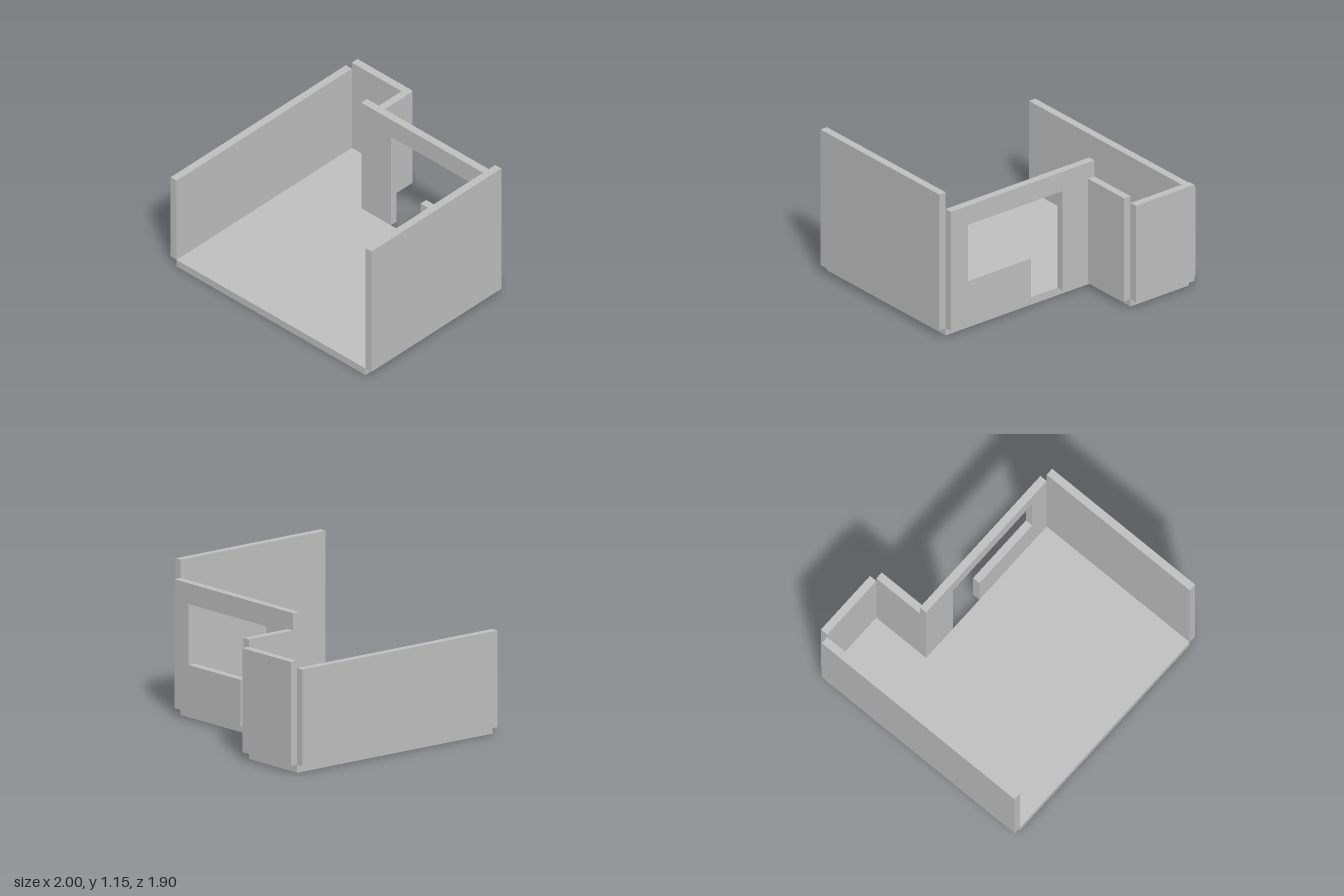
import * as THREE from 'three';

export function createModel() {
  const model = new THREE.Group();
  model.name = 'roomShell';
  const plaster = new THREE.MeshStandardMaterial({ color: 0xc0c0c0 });
  plaster.name = 'plaster grey';

  // Shared levels: floor thickness and main plan edges
  const T = 0.06, FRONT = 0.95, BACK = -0.415, ALCOVE = -0.89, CORNER = -0.395;

  const add = (name, geometry) => {
    const mesh = new THREE.Mesh(geometry, plaster);
    mesh.name = name;
    model.add(mesh);
    return mesh;
  };
  // Wall block given by its extents, standing on the floor level
  const wall = (name, x0, x1, z0, z1, top) =>
    add(name, new THREE.BoxGeometry(x1 - x0, top - T, z1 - z0))
      .position.set((x0 + x1) / 2, (T + top) / 2, (z0 + z1) / 2);
  // Slab cut from an outline
  const slab = (points) => new THREE.ExtrudeGeometry(
    new THREE.Shape(points.map(([x, y]) => new THREE.Vector2(x, y))),
    { depth: T, bevelEnabled: false });

  // L-shaped floor, drawn as (x, -z) and laid flat
  add('floor', slab([
    [-0.94, -FRONT], [0.94, -FRONT], [0.94, -BACK],
    [CORNER, -BACK], [CORNER, -ALCOVE], [-0.94, -ALCOVE],
  ]).rotateX(-Math.PI / 2));

  // Side walls
  wall('rightSideWall', -1, -0.94, ALCOVE, FRONT, 0.78);
  wall('leftSideWall', 0.94, 1, BACK, FRONT, 1.155);

  // Alcove walls
  wall('alcoveBackWall', -0.94, CORNER, ALCOVE - T, ALCOVE, 0.835);
  wall('alcoveSideWall', CORNER, CORNER + T, ALCOVE, BACK - T, 0.89);

  // Back wall with a joined doorway and window opening
  add('backWall', slab([
    [CORNER, T], [-0.1, T], [-0.1, 0.865], [0.78, 0.865], [0.78, 0.412],
    [0.195, 0.412], [0.195, T], [0.94, T], [0.94, 1.02], [CORNER, 1.02],
  ])).position.z = BACK - T;

  return model;
}
